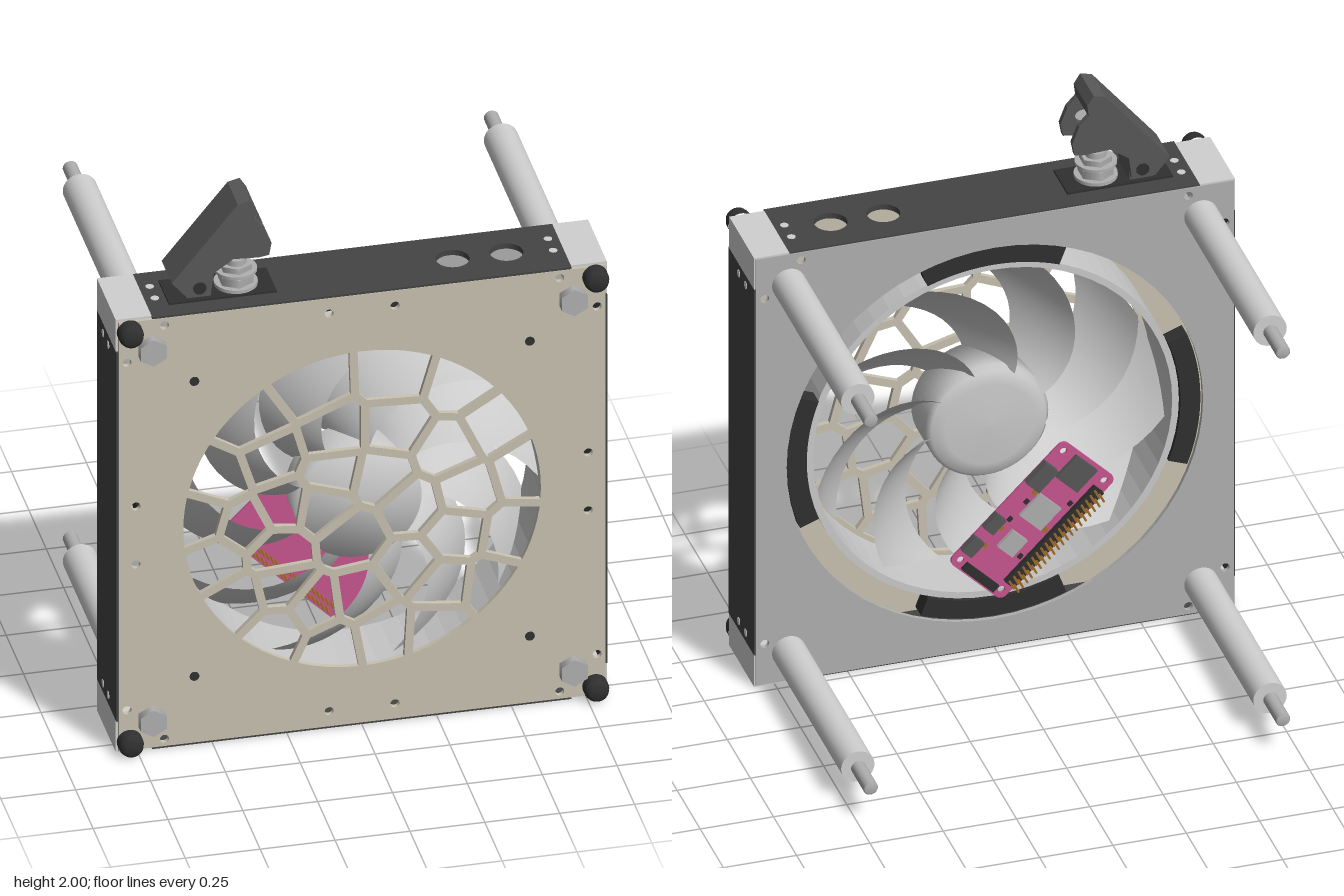
import * as THREE from 'three';

const mat = (name, color, side = THREE.FrontSide) => {
  const m = new THREE.MeshStandardMaterial({ color, side });
  m.name = name;
  return m;
};
const M = {
  beige: mat('beige plate', 0xc8c2b0),
  dark: mat('dark panel', 0x444444),
  guard: mat('guard grey', 0x585858),
  rubber: mat('black rubber', 0x303030),
  light: mat('light metal', 0xd0d0d0),
  plate: mat('grey plate', 0xb0b0b0),
  fan: mat('fan grey', 0xcacaca, THREE.DoubleSide),
  pink: mat('pink board', 0xc8568f),
  gold: mat('gold pins', 0xa8702a),
};
const CY = 0.82; // centre height of the case

function add(parent, name, geo, material, x = 0, y = 0, z = 0) {
  const m = new THREE.Mesh(geo, material);
  m.name = name;
  m.position.set(x, y, z);
  parent.add(m);
  return m;
}
const box = (p, name, m, w, h, d, x, y, z) => add(p, name, new THREE.BoxGeometry(w, h, d), m, x, y, z);
const extrude = (p, name, m, shape, depth, x, y, z) =>
  add(p, name, new THREE.ExtrudeGeometry(shape, { depth, bevelEnabled: false, curveSegments: 32 }), m, x, y, z);
// cylinder along z, starting at z
function rodZ(p, name, m, r, len, x, y, z, sides = 32) {
  return add(p, name, new THREE.CylinderGeometry(r, r, len, sides).rotateX(Math.PI / 2), m, x, y, z + len / 2);
}
const poly = pts => new THREE.Shape(pts.map(p => new THREE.Vector2(p[0], p[1])));
const rect = (w, h) => poly([[-w / 2, -h / 2], [w / 2, -h / 2], [w / 2, h / 2], [-w / 2, h / 2]]);
const circle = (x, y, r) => new THREE.Path().absarc(x, y, r, 0, Math.PI * 2);
function arcBand(r0, r1, a0, a1) {
  const s = new THREE.Shape();
  s.absarc(0, 0, r1, a0, a1, false);
  s.absarc(0, 0, r0, a1, a0, true);
  return s;
}
const corners = [[1, 1], [-1, 1], [-1, -1], [1, -1]];

// grille cell centres, in hundredths from the plate centre
const SEEDS = [
  [6, 11], [-9, 14], [-13, 2], [-3, -11], [17, -2], [-26, 4], [-28, -13], [-27, -27], [-9, 29],
  [11, 29], [29, 18], [35, 2], [31, -14], [16, -24], [0, -34], [-16, -36], [-36, 36], [-31, 23],
  [-17, 48], [12, 49], [33, 43], [44, 25], [54, 7], [51, -17], [44, -35], [27, -33], [25, -49],
  [7, -48], [-10, -51], [-28, -43], [-41, -30], [-49, -14], [-54, 2], [-47, 18], [-39, -2],
].map(([x, y]) => [x / 100, y / 100]);

// one opening: the disc clipped to the cell around a seed, less half a strut
function grilleCell(seed) {
  let pts = Array.from({ length: 96 }, (_, i) => [0.597 * Math.cos(i * Math.PI / 48), 0.597 * Math.sin(i * Math.PI / 48)]);
  for (const other of SEEDS) {
    if (other === seed) continue;
    const dx = other[0] - seed[0], dy = other[1] - seed[1], len = Math.hypot(dx, dy);
    const dist = p => ((p[0] - seed[0]) * dx + (p[1] - seed[1]) * dy) / len - (len / 2 - 0.014);
    const out = [];
    pts.forEach((p, i) => {
      const q = pts[(i + 1) % pts.length], a = dist(p), b = dist(q);
      if (a <= 0) out.push(p);
      if (a * b < 0) out.push([p[0] + (q[0] - p[0]) * a / (a - b), p[1] + (q[1] - p[1]) * a / (a - b)]);
    });
    pts = out;
  }
  return pts;
}

function buildCase(g) {
  // front plate with grille and screw holes
  const front = rect(1.625, 1.625);
  SEEDS.map(grilleCell).filter(c => c.length > 2).forEach(c => front.holes.push(poly(c)));
  const back = rect(1.63, 1.63);
  back.holes.push(circle(0, 0, 0.71));
  for (const [sx, sy] of corners) {
    for (const s of [front, back]) s.holes.push(circle(sx * 0.66, sy * 0.785, 0.015), circle(sx * 0.785, sy * 0.66, 0.015));
    front.holes.push(circle(sx * 0.11, sy * 0.755, 0.015), circle(sx * 0.755, sy * 0.11, 0.015));
  }
  extrude(g, 'frontPlate', M.beige, front, 0.017, 0, CY, 0.545);
  extrude(g, 'backPlate', M.plate, back, 0.015, 0, CY, 0.277);

  // four side panels, the top one with two round openings
  for (let k = 0; k < 4; k++) {
    const side = new THREE.Group();
    side.name = ['topPanel', 'leftPanel', 'bottomPanel', 'rightPanel'][k];
    side.position.y = CY;
    side.rotation.z = -k * Math.PI / 2;
    g.add(side);
    const s = rect(1.4, 0.28);
    if (k === 0) s.holes.push(circle(0.335, 0, 0.055), circle(0.515, 0, 0.055));
    extrude(side, 'panel', M.dark, s, 0.02, 0, 0.8, 0.42).rotation.x = -Math.PI / 2;
    for (const x of [-0.665, 0.665]) for (const z of [0.37, 0.445])
      add(side, 'panelScrew', new THREE.CylinderGeometry(0.014, 0.014, 0.004, 16), M.light, x, 0.82, z);
  }

  // corners: block, foot, bolt, standoff with threaded end
  const foot = new THREE.LatheGeometry([[0.042, 0], [0.042, 0.03], [0.037, 0.046], [0.025, 0.055], [0, 0.057]]
    .map(p => new THREE.Vector2(...p)), 28).rotateX(Math.PI / 2);
  const ridges = [];
  for (let i = 0; i <= 24; i++) ridges.push(new THREE.Vector2(i % 2 ? 0.025 : 0.02, i * 0.145 / 24));
  ridges.push(new THREE.Vector2(0, 0.145));
  const thread = new THREE.LatheGeometry(ridges, 20).rotateX(-Math.PI / 2);
  for (const [sx, sy] of corners) {
    box(g, 'cornerBlock', M.light, 0.12, 0.12, 0.27, sx * 0.76, CY + sy * 0.76, 0.415);
    add(g, 'rubberFoot', foot, M.rubber, sx * 0.777, CY + sy * 0.777, 0.56);
    rodZ(g, 'hexBolt', M.plate, 0.05, 0.035, sx * 0.703, CY + sy * 0.703, 0.56, 6);
    rodZ(g, 'standoff', M.light, 0.057, 0.75, sx * 0.703, CY + sy * 0.703, -0.47);
    add(g, 'threadedEnd', thread, M.plate, sx * 0.703, CY + sy * 0.703, -0.47);
    rodZ(g, 'fanScrew', M.rubber, 0.016, 0.006, sx * 0.56, CY + sy * 0.56, 0.56, 16);
  }
}

function buildFan(g) {
  const fan = new THREE.Group();
  fan.name = 'fan';
  fan.position.y = CY;
  g.add(fan);
  const ring = new THREE.Shape().absarc(0, 0, 0.635, 0, Math.PI * 2);
  ring.holes.push(circle(0, 0, 0.612));
  extrude(fan, 'fanRing', M.fan, ring, 0.24, 0, 0, 0.3);
  // domed hub, facing the back
  const hub = new THREE.LatheGeometry([[0, -0.09], [0.21, -0.09], [0.21, 0.06], [0.195, 0.08], [0.15, 0.09], [0, 0.095]]
    .map(p => new THREE.Vector2(...p)), 48).rotateX(-Math.PI / 2);
  add(fan, 'hub', hub, M.fan, 0, 0, 0.425);
  // swept, pitched blades
  const blade = new THREE.PlaneGeometry(1, 1, 8, 12);
  const p = blade.attributes.position;
  for (let i = 0; i < p.count; i++) {
    const u = p.getX(i), v = p.getY(i) + 0.5;
    const r = 0.2 + 0.4 * v;
    const a = -0.75 * Math.pow(v, 1.4) + u * (0.62 - 0.16 * v);
    p.setXYZ(i, r * Math.cos(a), r * Math.sin(a), 0.42 - u * 0.18 + 0.05 * (0.25 - u * u));
  }
  blade.computeVertexNormals();
  for (let k = 0; k < 9; k++) add(fan, 'blade', blade, M.fan).rotation.z = k * Math.PI * 2 / 9 + 0.3;
  // vibration pads around the ring
  for (let k = 0; k < 4; k++)
    extrude(fan, 'vibrationPad', M.rubber, arcBand(0.637, 0.705, -0.36, 0.36), 0.06, 0, 0, 0.29).rotation.z = k * Math.PI / 2;
}

function buildSwitch(g) {
  const s = new THREE.Group();
  s.name = 'guardedSwitch';
  g.add(s);
  const zc = 0.423;
  box(s, 'switchBase', M.rubber, 0.36, 0.008, 0.15, -0.45, 1.643, zc);
  box(s, 'switchBody', M.rubber, 0.15, 0.13, 0.12, -0.39, 1.56, zc);
  box(s, 'hingeBracket', M.guard, 0.08, 0.085, 0.115, -0.527, 1.685, zc);
  rodZ(s, 'hingePin', M.rubber, 0.022, 0.155, -0.527, 1.69, zc - 0.0775, 16);
  // flip-up guard: two cheeks and an outer web
  const cheek = poly([[-0.62, 1.72], [-0.57, 1.66], [-0.49, 1.66], [-0.48, 1.74], [-0.415, 1.785], [-0.33, 1.78],
    [-0.295, 1.785], [-0.287, 1.83], [-0.31, 1.89], [-0.343, 1.925], [-0.338, 1.965], [-0.36, 2], [-0.4, 1.99]]);
  for (const z of [zc - 0.074, zc + 0.054]) extrude(s, 'guardCheek', M.guard, cheek, 0.02, 0, 0, z);
  const web = poly([[-0.62, 1.72], [-0.595, 1.712], [-0.39, 1.945], [-0.343, 1.925], [-0.338, 1.965], [-0.36, 2], [-0.4, 1.99]]);
  extrude(s, 'guardWeb', M.guard, web, 0.146, 0, 0, zc - 0.073);
  // collar, nuts and lever
  for (const [r, h, y, n] of [[0.072, 0.012, 1.655, 32], [0.06, 0.03, 1.675, 6], [0.035, 0.1, 1.7, 24], [0.07, 0.01, 1.705, 32], [0.055, 0.02, 1.72, 6]])
    add(s, 'switchNut', new THREE.CylinderGeometry(r, r, h, n), M.plate, -0.39, y, zc);
  add(s, 'lever', new THREE.CylinderGeometry(0.03, 0.017, 0.18, 20), M.plate, -0.37, 1.8, zc).rotation.z = -0.22;
}

function buildBoard(g) {
  const b = new THREE.Group();
  b.name = 'circuitBoard';
  b.position.set(-0.115, 0.49, 0.236);
  b.rotation.z = -Math.PI / 4;
  g.add(b);
  const s = new THREE.Shape();
  const w = 0.278, h = 0.128, r = 0.025;
  s.absarc(w - r, h - r, r, 0, Math.PI / 2);
  s.absarc(r - w, h - r, r, Math.PI / 2, Math.PI);
  s.absarc(r - w, r - h, r, Math.PI, Math.PI * 1.5);
  s.absarc(w - r, r - h, r, Math.PI * 1.5, Math.PI * 2);
  for (const [sx, sy] of corners) s.holes.push(circle(sx * 0.248, sy * 0.098, 0.012));
  extrude(b, 'board', M.pink, s, 0.009, 0, 0, 0);
  // two-row pin header
  box(b, 'pinHeader', M.rubber, 0.434, 0.043, 0.018, 0, -0.099, -0.009);
  for (let i = 0; i < 20; i++) for (const y of [-0.11, -0.088])
    box(b, 'pin', M.gold, 0.006, 0.006, 0.116, (i - 9.5) * 0.0217, y, -0.008);
  // chips and connectors on the rear face
  box(b, 'mainChip', M.plate, 0.1, 0.1, 0.012, -0.04, 0.005, -0.006);
  box(b, 'radioChip', M.plate, 0.075, 0.07, 0.014, 0.1, 0, -0.007);
  box(b, 'videoPort', M.guard, 0.095, 0.06, 0.028, -0.14, 0.102, -0.014);
  for (const x of [0.08, 0.185]) box(b, 'dataPort', M.guard, 0.065, 0.045, 0.025, x, 0.11, -0.0125);
  box(b, 'cardSlot', M.guard, 0.1, 0.1, 0.014, -0.215, 0.005, -0.007);
  box(b, 'ribbonSocket', M.rubber, 0.03, 0.15, 0.014, 0.255, 0, -0.007);
  for (let i = 0; i < 8; i++)
    box(b, 'smallPart', i % 2 ? M.gold : M.rubber, 0.018, 0.012, 0.008, -0.12 + i * 0.04, i % 3 ? 0.07 : -0.06, -0.004);
}

export function createModel() {
  const g = new THREE.Group();
  g.name = 'fanUnit';
  buildCase(g);
  buildFan(g);
  buildSwitch(g);
  buildBoard(g);
  return g;
}
